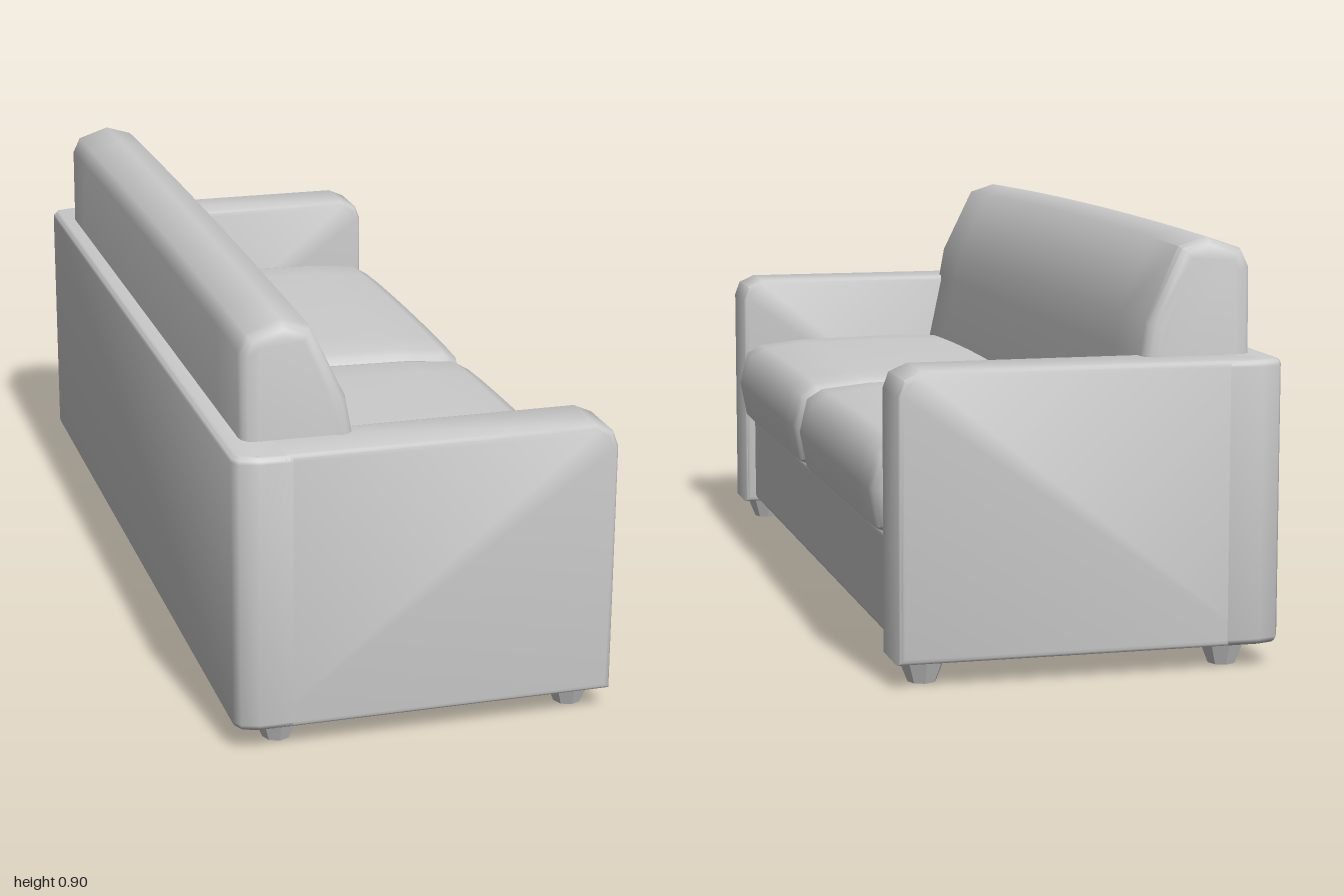
import * as THREE from 'three';
import { toCreasedNormals } from 'three/addons/utils/BufferGeometryUtils.js';
import { RoundedBoxGeometry } from 'three/addons/geometries/RoundedBoxGeometry.js';

const material = new THREE.MeshStandardMaterial({ color: 0xcccccc });

// Outline extruded along z, centred on z = 0, with rounded ends kept inside the outline
function padded(points, width, bevelSize, bevelDepth, steps, bend) {
  const shape = new THREE.Shape(points.map(([x, y]) => new THREE.Vector2(x, y)));
  const depth = width - 2 * bevelDepth;
  const geo = new THREE.ExtrudeGeometry(shape, {
    depth, steps, bevelEnabled: true, bevelSegments: 3,
    bevelSize, bevelThickness: bevelDepth, bevelOffset: -bevelSize,
  });
  geo.translate(0, 0, -depth / 2);
  if (bend) {
    const p = geo.attributes.position;
    const v = new THREE.Vector3();
    for (let i = 0; i < p.count; i++) {
      bend(v.fromBufferAttribute(p, i));
      p.setXYZ(i, v.x, v.y, v.z);
    }
  }
  return toCreasedNormals(geo, 0.85);
}

export function createModel() {
  const group = new THREE.Group();
  const add = (name, geo, x = 0, y = 0, z = 0) => {
    const mesh = new THREE.Mesh(geo, material);
    mesh.name = name;
    mesh.position.set(x, y, z);
    group.add(mesh);
  };

  // Arms: side panels with a rounded upper front corner
  const armGeo = padded([
    [-0.37, 0.05], [0.395, 0.05], [0.395, 0.595], [0.383, 0.628], [0.345, 0.645], [-0.37, 0.645],
  ], 0.15, 0.014, 0.014, 1);

  // Back panel: plan with rounded rear corners, raised to arm height
  const backGeo = padded([
    [-0.42, -0.965], [-0.408, -0.988], [-0.37, -1], [-0.3, -1],
    [-0.3, 1], [-0.37, 1], [-0.408, 0.988], [-0.42, 0.965],
  ], 0.595, 0.014, 0.014, 1);
  backGeo.rotateX(-Math.PI / 2);
  add('backPanel', backGeo, 0, 0.3475, 0);

  // Base between the arms
  add('base', new RoundedBoxGeometry(0.75, 0.222, 1.7, 2, 0.015), -0.005, 0.171, 0);

  // Seat cushions: plump profile, crowned in the middle of each cushion
  const seatGeo = padded([
    [-0.3, 0.28], [0.36, 0.28], [0.4, 0.297], [0.416, 0.38], [0.398, 0.455],
    [0.36, 0.477], [0.25, 0.488], [0.05, 0.492], [-0.15, 0.488], [-0.3, 0.48],
  ], 0.844, 0.04, 0.045, 8, (v) => {
    const crown = 1 - (v.z / 0.422) ** 2;
    if (v.y > 0.44) v.y += 0.008 * crown;
    if (v.x > 0.37) v.x += 0.012 * Math.min(0, crown - 0.4);
  });

  // Back cushion: one long leaning bolster, tapering to its upper ends
  add('backCushion', padded([
    [-0.38, 0.3], [-0.09, 0.3], [-0.112, 0.49], [-0.145, 0.645], [-0.157, 0.715],
    [-0.23, 0.868], [-0.29, 0.887], [-0.363, 0.862], [-0.38, 0.825],
  ], 1.82, 0.028, 0.032, 10, (v) => {
    const t = Math.abs(v.z) / 0.91;
    if (v.y > 0.8) v.y += 0.01 * (1 - t * t);
    v.z *= 1 - 0.07 * Math.max(0, v.y - 0.645);
  }));

  // Legs: tapered faceted feet with a small hollow underneath
  const legGeo = toCreasedNormals(new THREE.LatheGeometry([
    new THREE.Vector2(0, 0.012), new THREE.Vector2(0.012, 0), new THREE.Vector2(0.03, 0),
    new THREE.Vector2(0.05, 0.05), new THREE.Vector2(0, 0.055),
  ], 8), 0.4);

  for (const side of [-1, 1]) {
    const label = side > 0 ? 'left' : 'right';
    add(label + 'Arm', armGeo, 0, 0, side * 0.925);
    add(label + 'SeatCushion', seatGeo, 0, 0, side * 0.424);
    add(label + 'RearLeg', legGeo, -0.316, 0, side * 0.92);
    add(label + 'FrontLeg', legGeo, 0.328, 0, side * 0.92);
  }
  return group;
}
